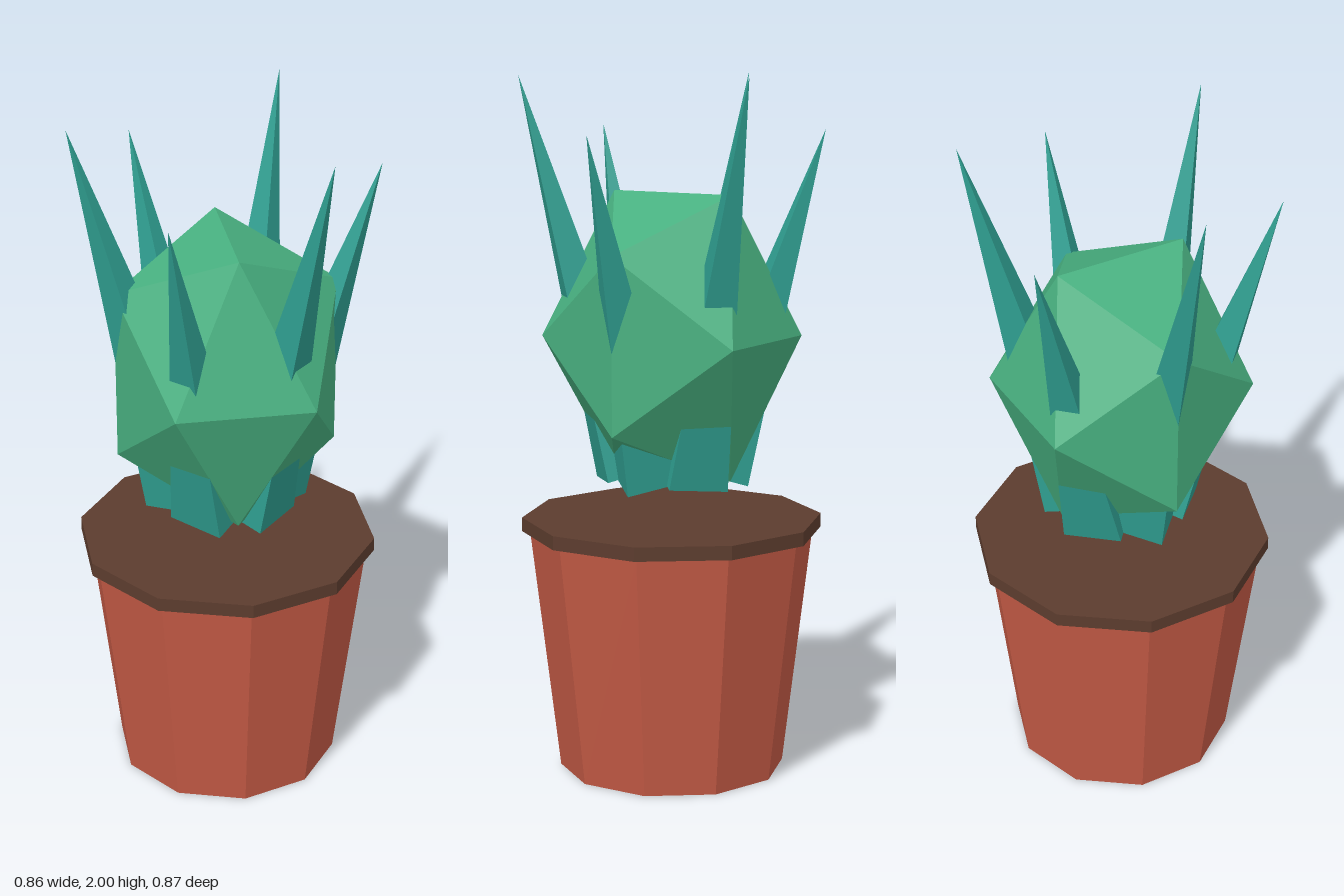
import * as THREE from 'three';

function material(name, color) {
  const m = new THREE.MeshStandardMaterial({ color, flatShading: true });
  m.name = name;
  return m;
}

export function createModel() {
  const group = new THREE.Group();
  group.name = 'pottedPlant';
  const clay = material('clay', 0xc45a45);
  const earth = material('earth', 0x5c3c2e);
  const green = material('green', 0x48b080);
  const teal = material('teal', 0x2f9e90);

  function add(name, geometry, mat, y = 0) {
    const mesh = new THREE.Mesh(geometry, mat);
    mesh.name = name;
    mesh.position.y = y;
    group.add(mesh);
    return mesh;
  }

  // Ten-sided tapered pot with a wider soil slab on top
  add('pot', new THREE.CylinderGeometry(0.41, 0.326, 0.7, 10), clay, 0.35);
  add('soil', new THREE.CylinderGeometry(0.433, 0.433, 0.04, 10), earth, 0.72);

  // Faceted body, stretched upward, with its top ridge along z
  const body = new THREE.IcosahedronGeometry(0.37, 0);
  body.rotateY(Math.PI / 2);
  body.scale(1, 1.29, 1);
  add('body', body, green, 1.265);

  // Six leaning spikes run right through the body, alternately short and long
  const up = new THREE.Vector3(0, 1, 0);
  for (let i = 0; i < 6; i++) {
    const a = (i * Math.PI) / 3;
    const c = Math.cos(a), s = Math.sin(a);
    const base = new THREE.Vector3(0.12 * c, 0.87, 0.12 * s);
    const tip = new THREE.Vector3(0.432 * c, i % 2 ? 2 : 1.85, 0.432 * s);
    const axis = tip.clone().sub(base);
    const spike = add('spike' + (i + 1), new THREE.ConeGeometry(0.12, axis.length(), 4), teal);
    spike.position.copy(base).lerp(tip, 0.5);
    spike.quaternion.setFromUnitVectors(up, axis.normalize());
  }
  return group;
}
